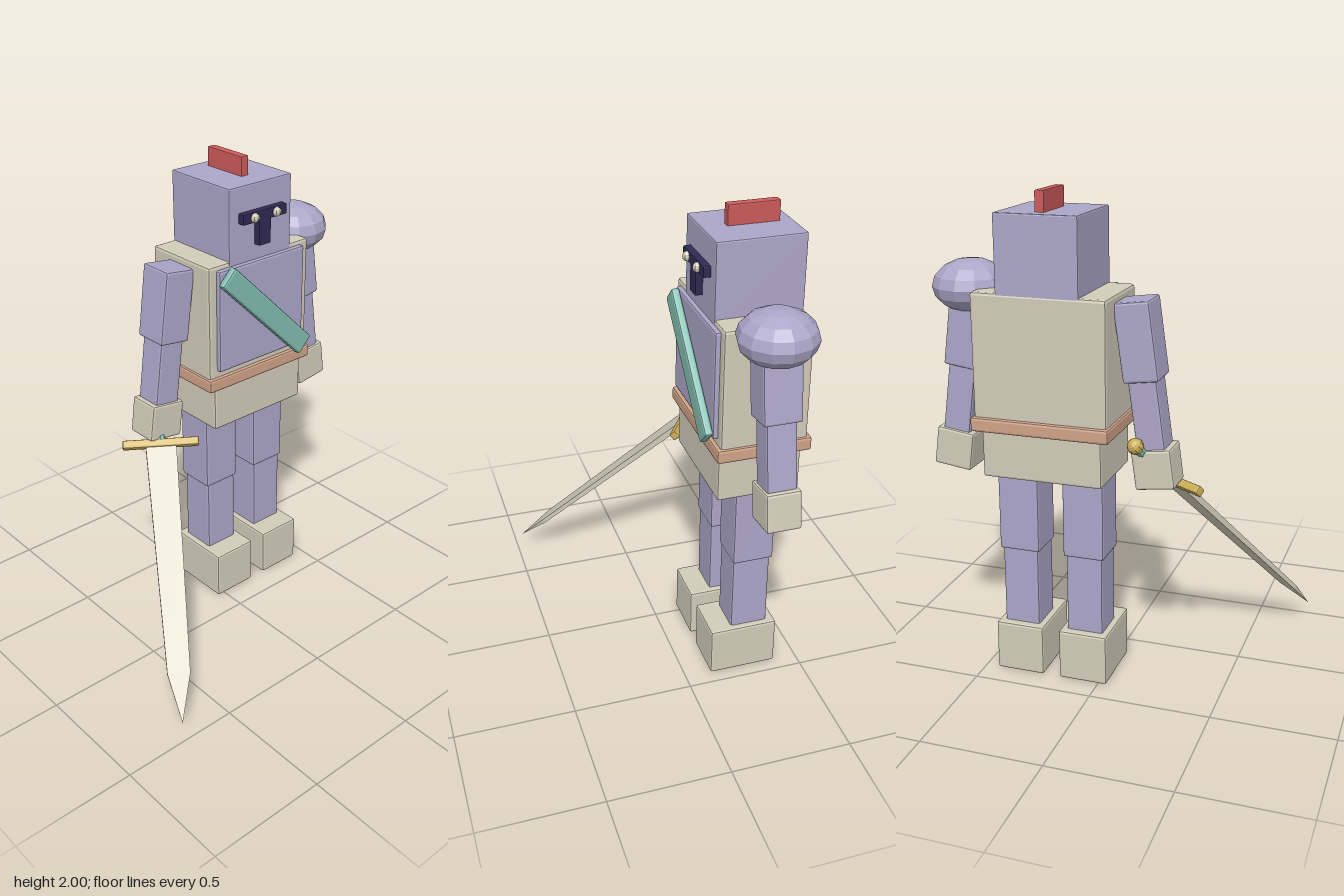
import * as THREE from 'three';
import { RoundedBoxGeometry } from 'three/addons/geometries/RoundedBoxGeometry.js';

const mat = (name, color) => {
  const m = new THREE.MeshStandardMaterial({ color });
  m.name = name;
  return m;
};

export function createModel() {
  const lilac = mat('lilac', 0xaca6c8);
  const bone = mat('bone', 0xd2ccb9);
  const teal = mat('teal', 0x82bdb0);
  const copper = mat('copper', 0xd0a388);
  const red = mat('red', 0xcc5a5a);
  const gold = mat('gold', 0xcbae56);
  const dark = mat('darkVisor', 0x2f2952);

  const model = new THREE.Group();
  model.name = 'knight';

  // Adds a mesh with faceted normals
  const add = (parent, name, geometry, material, x, y, z) => {
    const g = geometry.index ? geometry.toNonIndexed() : geometry;
    g.computeVertexNormals();
    const mesh = new THREE.Mesh(g, material);
    mesh.name = name;
    mesh.position.set(x, y, z);
    parent.add(mesh);
    return mesh;
  };
  // Box with chamfered edges
  const block = (parent, name, [w, h, d], material, x, y, z, bevel = 0.01) =>
    add(parent, name, new RoundedBoxGeometry(w, h, d, 1, bevel), material, x, y, z);

  const cx = 0.205, cz = -0.288;

  // Head, crest and face
  block(model, 'head', [0.334, 0.33, 0.355], lilac, cx, 1.755, cz, 0.006);
  block(model, 'crest', [0.038, 0.1, 0.208], red, cx, 1.95, -0.31, 0.004);
  block(model, 'visorBar', [0.234, 0.044, 0.04], dark, cx, 1.79, -0.101, 0.004);
  block(model, 'visorStem', [0.063, 0.115, 0.04], dark, cx, 1.722, -0.101, 0.004);
  for (const s of [-1, 1]) {
    add(model, s > 0 ? 'leftEye' : 'rightEye', new THREE.SphereGeometry(0.02, 8, 6),
      bone, cx + s * 0.059, 1.79, -0.079);
  }

  // Torso, chest plate, sash, belt and hips
  block(model, 'torso', [0.545, 0.53, 0.355], bone, cx, 1.355, -0.29, 0.012);
  block(model, 'chestPlate', [0.467, 0.445, 0.06], lilac, cx, 1.378, -0.122);
  const sash = block(model, 'sash', [0.608, 0.096, 0.034], teal, 0.209, 1.369, -0.072);
  sash.rotation.z = -0.777;
  block(model, 'belt', [0.566, 0.058, 0.388], copper, cx, 1.1, -0.29);
  block(model, 'hips', [0.492, 0.23, 0.342], bone, cx, 0.995, -0.285);

  // Legs and arms, one set per side
  for (const s of [-1, 1]) {
    const side = s > 0 ? 'left' : 'right';

    const leg = new THREE.Group();
    leg.name = side + 'Leg';
    model.add(leg);
    block(leg, side + 'Thigh', [0.172, 0.36, 0.174], lilac, cx + s * 0.138, 0.72, cz);
    block(leg, side + 'Shin', [0.153, 0.36, 0.16], lilac, cx + s * 0.138, 0.37, -0.285);
    block(leg, side + 'Foot', [0.206, 0.214, 0.29], bone, cx + s * 0.138, 0.107, -0.255);

    // Arm hangs from the shoulder, tilted outward
    const arm = new THREE.Group();
    arm.name = side + 'Arm';
    arm.position.set(cx + s * 0.333, 1.595, cz);
    arm.rotation.z = s * 0.135;
    model.add(arm);
    block(arm, side + 'UpperArm', [0.143, 0.31, 0.155], lilac, 0, -0.152, 0);
    block(arm, side + 'Forearm', [0.115, 0.29, 0.122], lilac, 0, -0.44, 0);
    block(arm, side + 'Hand', [0.16, 0.16, 0.142], bone, 0, -0.656, 0);
  }

  // Single domed shoulder guard on the left
  add(model, 'shoulderGuard', new THREE.SphereGeometry(0.155, 12, 8).scale(1, 0.69, 1),
    lilac, 0.549, 1.61, cz);

  // Sword: local x runs along the guard, local -y towards the tip
  const sword = new THREE.Group();
  sword.name = 'sword';
  sword.position.set(-0.26, 0.857, -0.212);
  const up = new THREE.Vector3(0.46, 0.791, -0.687).normalize();
  const flat = new THREE.Vector3(0.841, 0, 0.541).cross(up).normalize();
  const across = up.clone().cross(flat);
  sword.quaternion.setFromRotationMatrix(new THREE.Matrix4().makeBasis(across, up, flat));
  model.add(sword);

  // Four-sided tapering slab, thin in z
  const slab = (top, bottom, length) =>
    new THREE.CylinderGeometry(top / Math.SQRT2, bottom / Math.SQRT2, length, 4, 1)
      .rotateY(Math.PI / 4).scale(1, 1, 0.2);
  add(sword, 'blade', slab(0.13, 0.092, 0.953), bone, 0, -0.4765, 0);
  add(sword, 'bladeTip', slab(0.092, 0, 0.191), bone, 0, -1.0485, 0);
  block(sword, 'guard', [0.322, 0.036, 0.036], gold, 0, 0, 0, 0.007);
  add(sword, 'grip', new THREE.CylinderGeometry(0.02, 0.02, 0.25, 8), teal, 0, 0.135, 0);
  add(sword, 'pommel', new THREE.SphereGeometry(0.033, 10, 8), gold, 0, 0.268, 0);

  return model;
}
